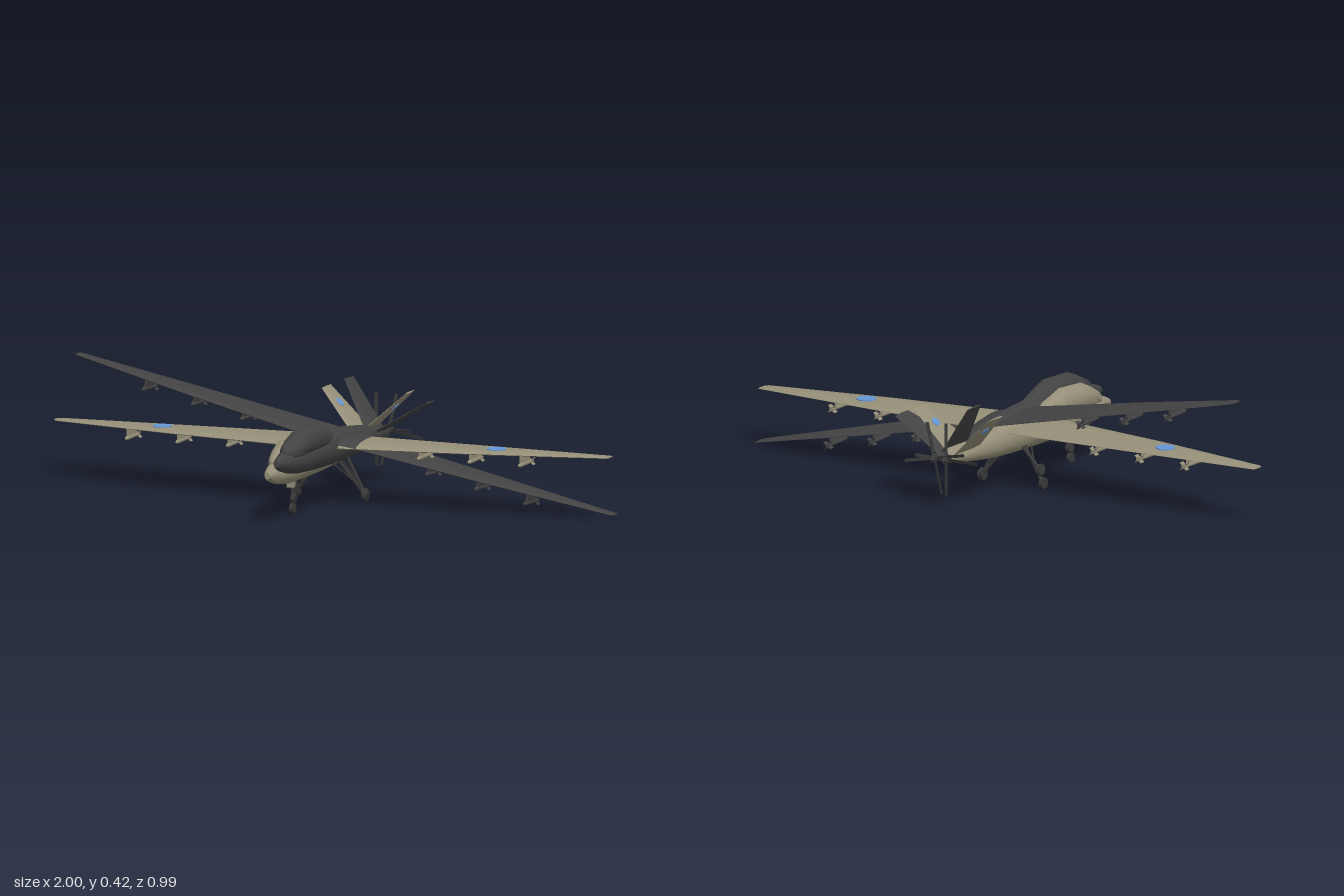
import * as THREE from 'three';
import { toCreasedNormals } from 'three/addons/utils/BufferGeometryUtils.js';

const material = (name, color) => new THREE.MeshStandardMaterial({ name, color });

// Skin a row of equal-length point loops, close both ends, face outward
function loft(rings, crease = 0.6) {
  const n = rings[0].length, pos = rings.flat(2), tris = [];
  for (let r = 0; r < rings.length - 1; r++) {
    for (let i = 0; i < n; i++) {
      const a = r * n + i, b = r * n + (i + 1) % n;
      tris.push([a, b, a + n], [b, b + n, a + n]);
    }
  }
  const last = (rings.length - 1) * n;
  for (let i = 1; i < n - 1; i++) tris.push([0, i + 1, i], [last, last + i, last + i + 1]);
  const pt = (i) => new THREE.Vector3().fromArray(pos, i * 3);
  const origin = pt(0);
  let volume = 0;
  for (const [a, b, c] of tris) {
    volume += pt(a).sub(origin).dot(pt(b).sub(origin).cross(pt(c).sub(origin)));
  }
  if (volume < 0) tris.forEach((t) => t.reverse());
  const g = new THREE.BufferGeometry();
  g.setAttribute('position', new THREE.Float32BufferAttribute(pos, 3));
  g.setIndex(tris.flat());
  return toCreasedNormals(g, crease);
}

// Oval tube along z from stations [z, bottom, top, half width]
function ovalBody(stations, sides = 20) {
  return loft(stations.map(([z, bottom, top, w]) =>
    Array.from({ length: sides }, (_, i) => {
      const a = (i / sides) * Math.PI * 2;
      return [Math.cos(a) * w, (top + bottom) / 2 + Math.sin(a) * (top - bottom) / 2, z];
    })), 0.8);
}

// Aerofoil loop: chord fraction, thickness fraction
const FOIL = [[0, 0], [0.08, 0.65], [0.3, 1], [0.65, 0.7], [1, 0.08],
  [1, -0.08], [0.65, -0.6], [0.3, -0.85], [0.08, -0.55]];

// Surface from stations [x, y, leading z, trailing z, half thickness], thick along (nx, ny)
function surface(stations, nx, ny) {
  return loft(stations.map(([x, y, lead, trail, t]) =>
    FOIL.map(([c, h]) => [x + nx * h * t, y + ny * h * t, lead + (trail - lead) * c])));
}

function createAircraft(skin, dark, blue) {
  const craft = new THREE.Group();
  const add = (name, geometry, mat, x = 0, y = 0, z = 0, parent = craft) => {
    const mesh = new THREE.Mesh(geometry, mat);
    mesh.name = name;
    mesh.position.set(x, y, z);
    parent.add(mesh);
    return mesh;
  };
  const rod = (name, from, to, radius, mat) => {
    const a = new THREE.Vector3(...from), b = new THREE.Vector3(...to);
    const mesh = add(name, new THREE.CylinderGeometry(radius, radius, a.distanceTo(b), 8), mat);
    mesh.position.copy(a).add(b).multiplyScalar(0.5);
    mesh.quaternion.setFromUnitVectors(new THREE.Vector3(0, 1, 0), b.sub(a).normalize());
  };

  // Fuselage and the bulged sensor housing on the nose
  add('fuselage', ovalBody([
    [0.495, -0.045, -0.022, 0.009], [0.47, -0.057, -0.01, 0.02], [0.42, -0.072, 0.004, 0.033],
    [0.34, -0.084, 0.014, 0.045], [0.2, -0.088, 0.026, 0.05], [0.05, -0.088, 0.032, 0.05],
    [-0.1, -0.085, 0.025, 0.045], [-0.2, -0.08, 0.016, 0.039], [-0.3, -0.069, 0.003, 0.031],
    [-0.4, -0.054, -0.013, 0.021], [-0.46, -0.042, -0.02, 0.012],
  ]), skin);
  add('noseBulge', ovalBody([
    [0.44, -0.02, 0.006, 0.012], [0.41, -0.03, 0.026, 0.03], [0.37, -0.03, 0.048, 0.039],
    [0.33, -0.03, 0.066, 0.042], [0.21, -0.03, 0.072, 0.042], [0.15, -0.03, 0.054, 0.038],
    [0.09, -0.03, 0.036, 0.028], [0.02, -0.03, 0.026, 0.012],
  ]), skin);

  for (const s of [1, -1]) {
    const side = s > 0 ? 'left' : 'right';

    // Long tapered wing
    add(side + 'Wing', surface([
      [0, 0, 0.103, -0.165, 0.013], [s * 0.53, 0, 0.028, -0.14, 0.008],
      [s * 0.975, 0, -0.06, -0.116, 0.004], [s * 0.987, 0, -0.068, -0.113, 0.002],
    ], 0, 1), skin);

    // Tilted tail fin
    const nx = -s * 0.693, ny = 0.721;
    add(side + 'TailFin', surface([
      [s * 0.01, -0.02, -0.285, -0.437, 0.006], [s * 0.15, 0.115, -0.358, -0.437, 0.003],
    ], nx, ny), skin);

    // Round markings on wing and fin
    if (blue) {
      add(side + 'WingRoundel', new THREE.CylinderGeometry(0.032, 0.032, 0.004, 24), blue,
        s * 0.595, 0.0078, -0.055);
      const disc = add(side + 'FinRoundel', new THREE.CylinderGeometry(0.016, 0.016, 0.0098, 20),
        blue, s * 0.098, 0.065, -0.385);
      disc.quaternion.setFromUnitVectors(new THREE.Vector3(0, 1, 0), new THREE.Vector3(nx, ny, 0).normalize());
    }

    // Three pylons with finned stores under each wing
    [0.34, 0.52, 0.7].forEach((x) => {
      const store = new THREE.Group();
      store.name = side + 'Store';
      store.position.set(s * x, -0.032, -0.045);
      craft.add(store);
      add('pylon', new THREE.BoxGeometry(0.007, 0.03, 0.075), skin, 0, 0.017, 0, store);
      add('storeBody', new THREE.CylinderGeometry(0.007, 0.007, 0.105, 10).rotateX(Math.PI / 2),
        skin, 0, 0, -0.01, store);
      add('storeNose', new THREE.ConeGeometry(0.007, 0.02, 10).rotateX(Math.PI / 2),
        skin, 0, 0, 0.0525, store);
      for (const a of [1, -1]) {
        const fin = add('storeFin', new THREE.BoxGeometry(0.034, 0.002, 0.02), skin, 0, 0, -0.052, store);
        fin.rotation.z = a * Math.PI / 4;
      }
    });

    // Splayed main landing gear
    rod(side + 'MainStrut', [s * 0.03, -0.06, -0.05], [s * 0.115, -0.172, -0.07], 0.006, dark);
    rod(side + 'MainBrace', [s * 0.03, -0.07, -0.01], [s * 0.085, -0.135, -0.064], 0.003, dark);
    add(side + 'MainWheel', new THREE.CylinderGeometry(0.019, 0.019, 0.013, 18).rotateZ(Math.PI / 2),
      dark, s * 0.12, -0.176, -0.07);
  }

  // Nose gear
  rod('noseStrut', [0, -0.07, 0.275], [0, -0.176, 0.27], 0.006, dark);
  add('noseGearHousing', new THREE.BoxGeometry(0.022, 0.024, 0.03), skin, 0, -0.092, 0.28);
  add('noseWheel', new THREE.CylinderGeometry(0.016, 0.016, 0.014, 18).rotateZ(Math.PI / 2),
    dark, 0, -0.177, 0.27);

  // Pusher propeller
  const propeller = new THREE.Group();
  propeller.name = 'propeller';
  propeller.position.set(0, -0.031, -0.468);
  craft.add(propeller);
  add('hub', new THREE.CylinderGeometry(0.014, 0.014, 0.02, 14).rotateX(Math.PI / 2), dark, 0, 0, 0, propeller);
  add('spinner', new THREE.ConeGeometry(0.012, 0.016, 14).rotateX(-Math.PI / 2), dark, 0, 0, -0.017, propeller);
  for (let i = 0; i < 4; i++) {
    const arm = new THREE.Group();
    arm.rotation.z = i * Math.PI / 2;
    propeller.add(arm);
    const blade = add('blade', new THREE.BoxGeometry(0.011, 0.115, 0.0025), dark, 0, 0.065, 0, arm);
    blade.rotation.y = 0.35;
  }
  return craft;
}

export function createModel() {
  const tan = material('tan paint', 0x969079);
  const charcoal = material('charcoal paint', 0x434343);
  const black = material('dark rubber', 0x3a3a3a);
  const blue = material('marking blue', 0x6496d8);

  const model = new THREE.Group();
  model.name = 'aircraftPair';

  // Level aircraft
  const level = createAircraft(tan, black, blue);
  level.name = 'levelAircraft';
  level.position.set(-0.013, 0.195, 0);

  // Banked aircraft crossing through it
  const banked = createAircraft(charcoal, black, null);
  banked.name = 'bankedAircraft';
  banked.position.set(0.03, 0.214, -0.008);
  banked.rotation.set(-0.04, -0.0125, -0.209, 'YXZ');

  model.add(level, banked);
  return model;
}
